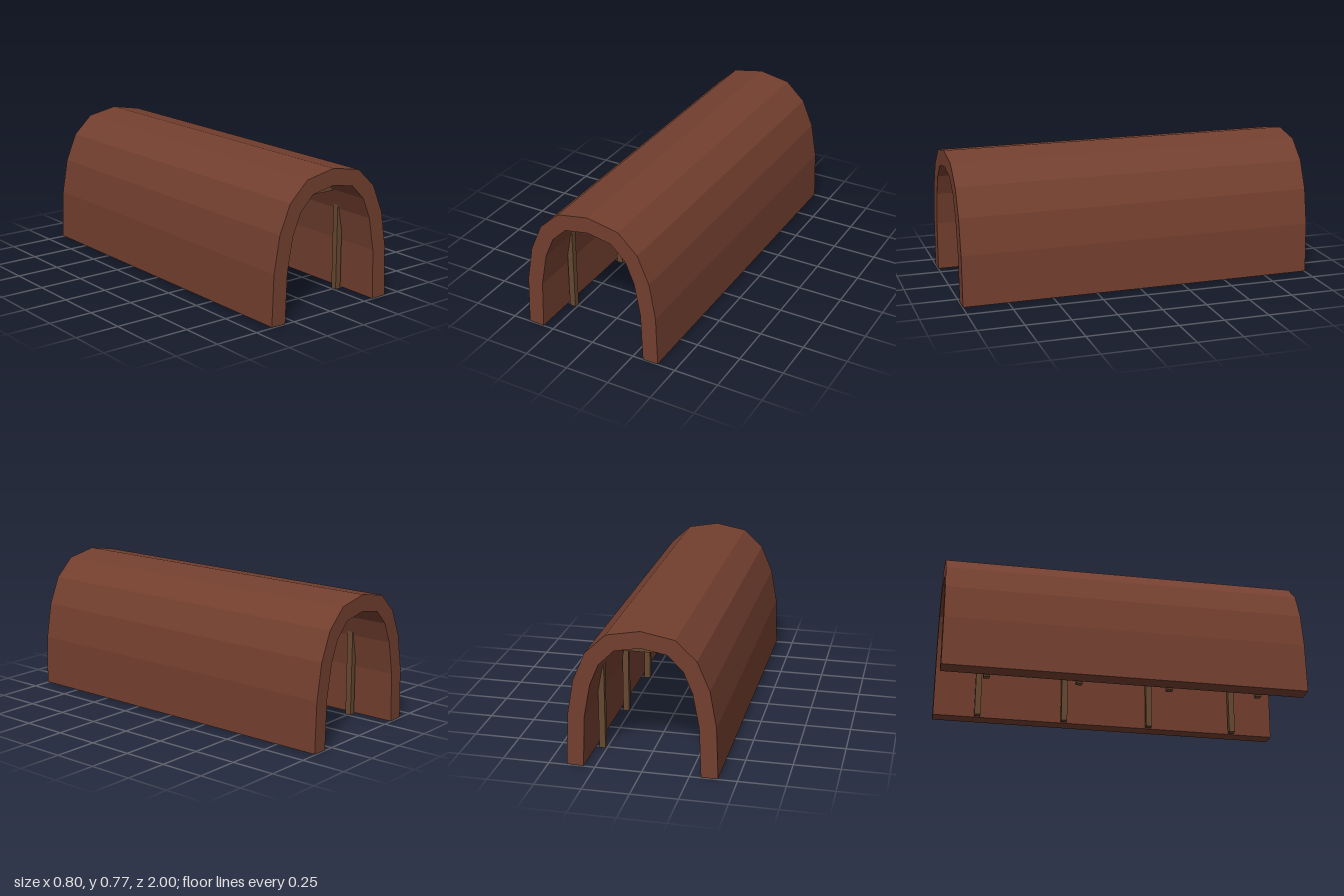
import * as THREE from 'three';

const brick = new THREE.MeshStandardMaterial({ color: 0x733f2f, flatShading: true });
const wood = new THREE.MeshStandardMaterial({ color: 0x664830, flatShading: true });

const LENGTH = 2;

// Half profiles of the arch, from the foot up to the crown
const OUTER = [[0.4, 0.004], [0.39, 0.285], [0.355, 0.482], [0.289, 0.635], [0.178, 0.739], [0, 0.772]];
const INNER = [[0.311, 0.001], [0.301, 0.277], [0.267, 0.46], [0.219, 0.575], [0.137, 0.657], [0, 0.682]];

// Mirrors a half profile into a full arch running from +x to -x
function fullArch(half) {
  const mirrored = half.slice(0, -1).reverse().map(([x, y]) => [-x, y]);
  return [...half, ...mirrored].map(([x, y]) => new THREE.Vector2(x, y));
}

function box(name, w, h, d, x, y, z) {
  const mesh = new THREE.Mesh(new THREE.BoxGeometry(w, h, d), wood);
  mesh.name = name;
  mesh.position.set(x, y, z);
  return mesh;
}

export function createModel() {
  const model = new THREE.Group();
  model.name = 'archedTunnel';

  // Vaulted shell
  const shape = new THREE.Shape([...fullArch(OUTER), ...fullArch(INNER).reverse()]);
  const shellGeometry = new THREE.ExtrudeGeometry(shape, { depth: LENGTH, bevelEnabled: false });
  shellGeometry.translate(0, 0, -LENGTH / 2);
  const shell = new THREE.Mesh(shellGeometry, brick);
  shell.name = 'vaultShell';
  model.add(shell);

  // Timber supports: two posts and a cross beam, repeated along the tunnel
  for (const z of [-0.75, -0.25, 0.25, 0.75]) {
    const frame = new THREE.Group();
    frame.name = 'supportFrame';
    for (const side of [1, -1]) {
      frame.add(box(side > 0 ? 'leftPost' : 'rightPost', 0.034, 0.57, 0.034, side * 0.275, 0.285, 0));
    }
    frame.add(box('crossBeam', 0.55, 0.032, 0.034, 0, 0.586, 0));
    frame.position.z = z;
    model.add(frame);
  }
  return model;
}
